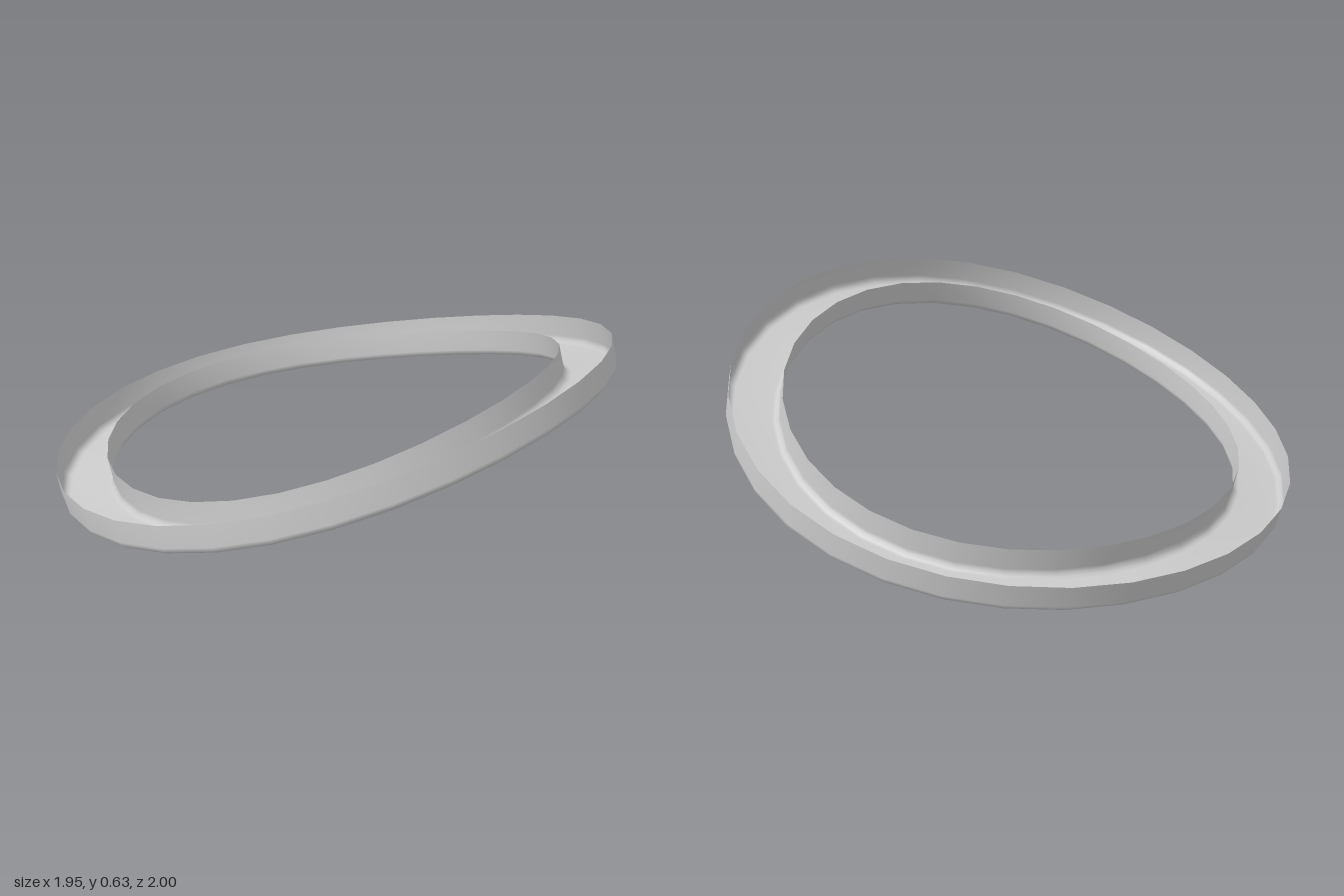
import * as THREE from 'three';
import { mergeVertices } from 'three/addons/utils/BufferGeometryUtils.js';

const OUTER = 1, INNER = 0.815, HEIGHT = 0.103, CORNER = 0.025;
const BEND = 0.09;                                   // lift of the two ends along x
const TILT = THREE.MathUtils.degToRad(15.7);

// Open U-shaped section: inner wall, floor, outer wall, with rounded lower corners
function channelProfile() {
  const points = [new THREE.Vector2(INNER, HEIGHT)];
  const corner = (cx, start) => {
    for (let i = 0; i <= 3; i++) {
      const a = start + (i / 3) * Math.PI / 2;
      points.push(new THREE.Vector2(cx + CORNER * Math.cos(a), CORNER + CORNER * Math.sin(a)));
    }
  };
  corner(INNER + CORNER, Math.PI);
  corner(OUTER - CORNER, Math.PI * 1.5);
  points.push(new THREE.Vector2(OUTER, HEIGHT));
  return points;
}

export function createModel() {
  const group = new THREE.Group();
  group.name = 'curvedRing';

  // Weld the lathe seam so the shading is smooth all round
  let geometry = new THREE.LatheGeometry(channelProfile(), 32);
  geometry.deleteAttribute('uv');
  geometry.deleteAttribute('normal');
  geometry = mergeVertices(geometry, 1e-4);

  // Bend the ring upward at both ends, then tilt it
  const pos = geometry.attributes.position;
  for (let i = 0; i < pos.count; i++) {
    const x = pos.getX(i), z = pos.getZ(i);
    pos.setY(i, pos.getY(i) + BEND * x * x / (x * x + z * z));
  }
  geometry.rotateZ(TILT);

  // Centre over the origin and rest on the ground
  geometry.computeBoundingBox();
  const { min, max } = geometry.boundingBox;
  geometry.translate(-(min.x + max.x) / 2, -min.y, -(min.z + max.z) / 2);
  geometry.computeVertexNormals();

  const ring = new THREE.Mesh(
    geometry,
    new THREE.MeshStandardMaterial({ color: 0xcccccc, side: THREE.DoubleSide })
  );
  ring.name = 'channelRing';
  group.add(ring);
  return group;
}
